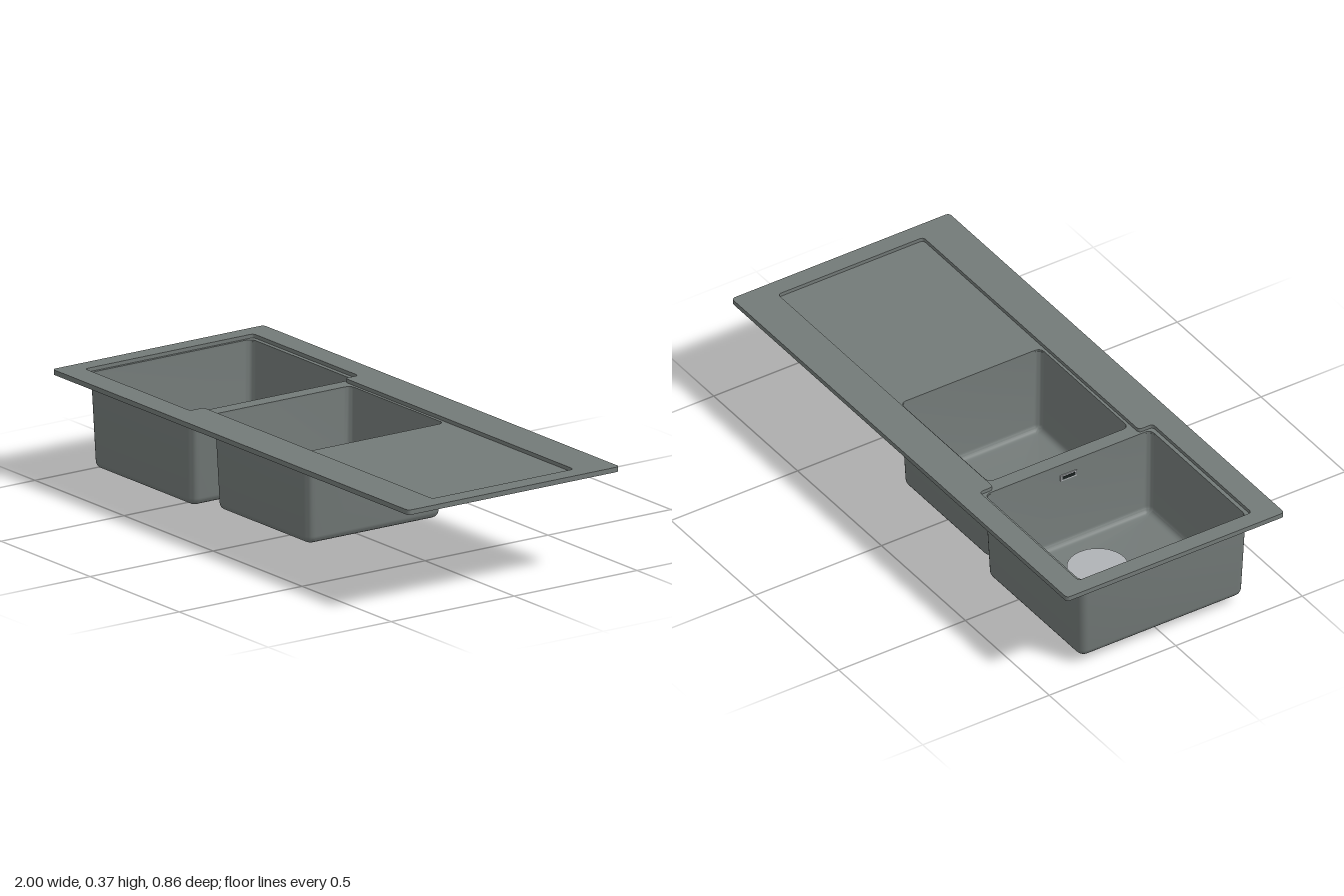
import * as THREE from 'three';
import { toCreasedNormals } from 'three/addons/utils/BufferGeometryUtils.js';

const mat = (name, color) => {
  const m = new THREE.MeshStandardMaterial({ color });
  m.name = name;
  return m;
};

// Closed outline through [x, z] corners, each corner rounded by r
function rounded(corners, r, Type = THREE.Shape) {
  const path = new Type();
  const v = corners.map(([x, z]) => new THREE.Vector2(x, z));
  v.forEach((p, i) => {
    const prev = v[(i + v.length - 1) % v.length], next = v[(i + 1) % v.length];
    const a = prev.clone().sub(p).setLength(r).add(p);
    const b = next.clone().sub(p).setLength(r).add(p);
    if (i === 0) path.moveTo(a.x, a.y);
    else path.lineTo(a.x, a.y);
    path.quadraticCurveTo(p.x, p.y, b.x, b.y);
  });
  path.closePath();
  return path;
}

const rect = (x0, x1, z0, z1, o = 0) =>
  [[x0 - o, z0 - o], [x1 + o, z0 - o], [x1 + o, z1 + o], [x0 - o, z1 + o]];

// Stepped outline of the recess, grown by o
const recess = (o = 0) => [
  [-0.94 - o, -0.345 - o], [-0.35 + o, -0.345 - o], [-0.35 + o, -0.29 - o], [0.935 + o, -0.29 - o],
  [0.935 + o, 0.285 + o], [-0.35 + o, 0.285 + o], [-0.35 + o, 0.34 + o], [-0.94 - o, 0.34 + o],
];

// Horizontal plate between two heights, with holes
function plate(outline, holes, top, bottom, r, holeR = r) {
  const shape = rounded(outline, r);
  shape.holes = holes.map((h) => rounded(h, holeR, THREE.Path));
  const g = new THREE.ExtrudeGeometry(shape, { depth: top - bottom, bevelEnabled: false, curveSegments: 6 });
  g.rotateX(Math.PI / 2).translate(0, top, 0);
  return toCreasedNormals(g, 0.6);
}

// Skin over a list of rings with equal point counts
function loft(rings) {
  const n = rings[0].length, pos = rings.flat(2), index = [];
  for (let i = 0; i < rings.length - 1; i++) {
    for (let j = 0; j < n; j++) {
      const k = (j + 1) % n, a = i * n + j, b = i * n + k;
      index.push(a, a + n, b, b, a + n, b + n);
    }
  }
  const g = new THREE.BufferGeometry();
  g.setAttribute('position', new THREE.Float32BufferAttribute(pos, 3));
  g.setIndex(index);
  return toCreasedNormals(g, 0.6);
}

const CORNER_STEPS = 6;
function rectRing([x0, x1, z0, z1], inset, r, y) {
  const ring = [];
  for (let q = 0; q < 4; q++) {
    const cx = q === 0 || q === 3 ? x1 - inset - r : x0 + inset + r;
    const cz = q < 2 ? z1 - inset - r : z0 + inset + r;
    for (let s = 0; s <= CORNER_STEPS; s++) {
      const a = (q + s / CORNER_STEPS) * Math.PI / 2;
      ring.push([cx + r * Math.cos(a), y, cz + r * Math.sin(a)]);
    }
  }
  return ring;
}
function circleRing(cx, radius, y) {
  const n = 4 * (CORNER_STEPS + 1);
  return Array.from({ length: n }, (_, j) => {
    const a = (j + 0.5) / n * Math.PI * 2;
    return [cx + radius * Math.cos(a), y, radius * Math.sin(a)];
  });
}

// One side of a bowl, from the drain opening up to the top edge
function bowlSide(b, drainX, grow, floorY, top) {
  const fillet = 0.025, rings = [circleRing(drainX, 0.095, floorY - 0.007)];
  for (let i = 0; i <= 5; i++) {
    const a = i / 5 * Math.PI / 2;
    const inset = 0.011 + fillet * (1 - Math.sin(a)) - grow;
    rings.push(rectRing(b, inset, Math.max(0.012, 0.036 - inset), floorY + fillet * (1 - Math.cos(a))));
  }
  rings.push(rectRing(b, -grow, 0.025 + grow, top));
  return rings;
}

export function createModel() {
  const group = new THREE.Group();
  const stone = mat('grey composite', 0x737a78);
  const steel = mat('brushed steel', 0xb0b3b6);
  const dark = mat('dark opening', 0x1b2221);
  const add = (name, geometry, material, parent = group) => {
    const m = new THREE.Mesh(geometry, material);
    m.name = name;
    parent.add(m);
    return m;
  };

  const bowls = [
    { name: 'largeBowl', box: [-0.93, -0.358, -0.33, 0.326], drainX: -0.535 },
    { name: 'smallBowl', box: [-0.305, 0.222, -0.279, 0.275], drainX: -0.11 },
  ];

  // Worktop: skirt, rim sheet, recess wall and recessed drainer floor
  const outer = (o) => rect(-1, 1, -0.43, 0.43, o);
  add('outerSkirt', plate(outer(0), [outer(-0.012)], 0.37, 0.353, 0.015, 0.008), stone);
  add('rim', plate(outer(-0.012), [recess(0.006)], 0.37, 0.362, 0.008, 0.015), stone);
  add('recessWall', plate(recess(0.006), [recess()], 0.37, 0.35, 0.015), stone);
  add('drainerFloor', plate(recess(), bowls.map((b) => rect(...b.box)), 0.357, 0.35, 0.015, 0.025), stone);

  for (const { name, box, drainX } of bowls) {
    const bowl = new THREE.Group();
    bowl.name = name;
    group.add(bowl);

    // Thin walled basin: outside going up, then inside going down
    const outside = bowlSide(box, drainX, 0.007, 0.032, 0.351);
    const inside = bowlSide(box, drainX, 0, 0.04, 0.351).reverse();
    add('basin', loft([...outside, ...inside]), stone, bowl);

    // Drain cover, neck and dark opening below
    const cover = add('drainCover', new THREE.CylinderGeometry(0.102, 0.102, 0.006, 48), steel, bowl);
    cover.position.set(drainX, 0.036, 0);
    const profile = [[0.057, 0.02], [0.057, 0], [0.063, 0], [0.064, 0.013], [0.068, 0.02], [0.076, 0.024], [0.098, 0.026]]
      .map(([x, y]) => new THREE.Vector2(x, y));
    const neck = add('drainNeck', toCreasedNormals(new THREE.LatheGeometry(profile, 40), 0.7), steel, bowl);
    neck.position.x = drainX;
    const opening = add('drainOpening', new THREE.CylinderGeometry(0.058, 0.058, 0.004, 40), dark, bowl);
    opening.position.set(drainX, 0.008, 0);
  }

  // Overflow slot on the dividing wall of the large bowl
  const overflow = new THREE.Group();
  overflow.name = 'overflow';
  overflow.position.set(-0.361, 0.305, 0);
  group.add(overflow);
  add('overflowPlate', new THREE.BoxGeometry(0.005, 0.022, 0.065), steel, overflow);
  add('overflowSlot', new THREE.BoxGeometry(0.007, 0.012, 0.052), dark, overflow);

  return group;
}
